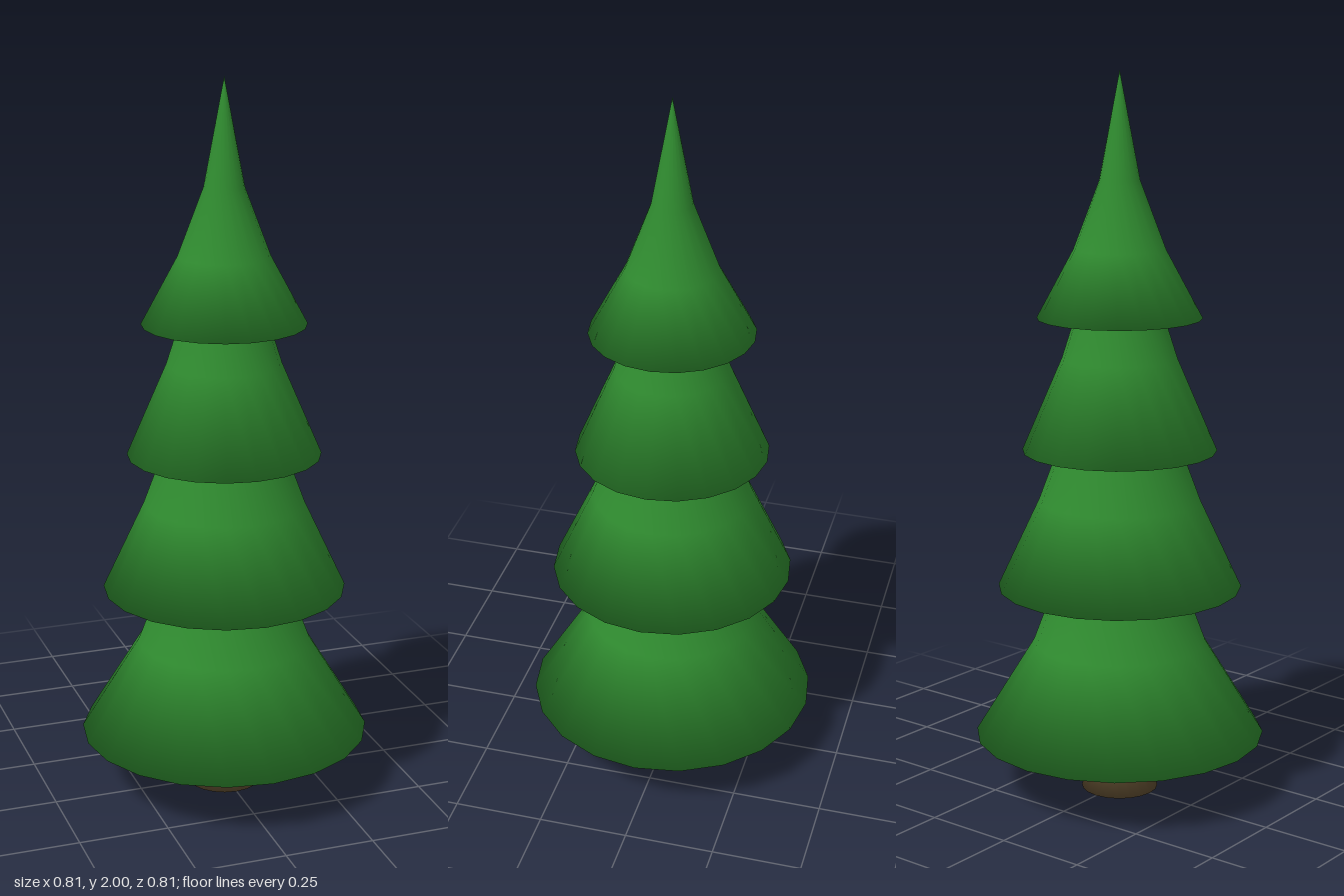
import * as THREE from 'three';

const SIDES = 20;
const green = new THREE.MeshStandardMaterial({ color: 0x2f8a2f });
const brown = new THREE.MeshStandardMaterial({ color: 0x5c4a2e });

// Smooth solid of revolution with a closed underside; profile is [radius, y], bottom to top
function turned(name, profile, material) {
  const points = [[0, profile[0][1]], ...profile].map(([r, y]) => new THREE.Vector2(r, y));
  const mesh = new THREE.Mesh(new THREE.LatheGeometry(points, SIDES), material);
  mesh.name = name;
  return mesh;
}

export function createModel() {
  const tree = new THREE.Group();
  tree.name = 'firTree';

  // Flared trunk, ending at the underside of the lowest tier
  tree.add(turned('trunk', [[0.107, 0], [0.082, 0.085], [0.07, 0.165]], brown));

  // Foliage tiers, each reaching up to the underside of the next
  const tiers = [
    [[0.403, 0.165], [0.24, 0.43], [0.18, 0.59]],
    [[0.337, 0.59], [0.222, 0.835], [0.17, 0.975]],
    [[0.267, 0.975], [0.157, 1.23], [0.122, 1.34]],
    [[0.225, 1.34], [0.125, 1.525], [0.055, 1.71], [0, 2]],
  ];
  tiers.forEach((profile, i) => tree.add(turned(`foliageTier${i + 1}`, profile, green)));

  return tree;
}
